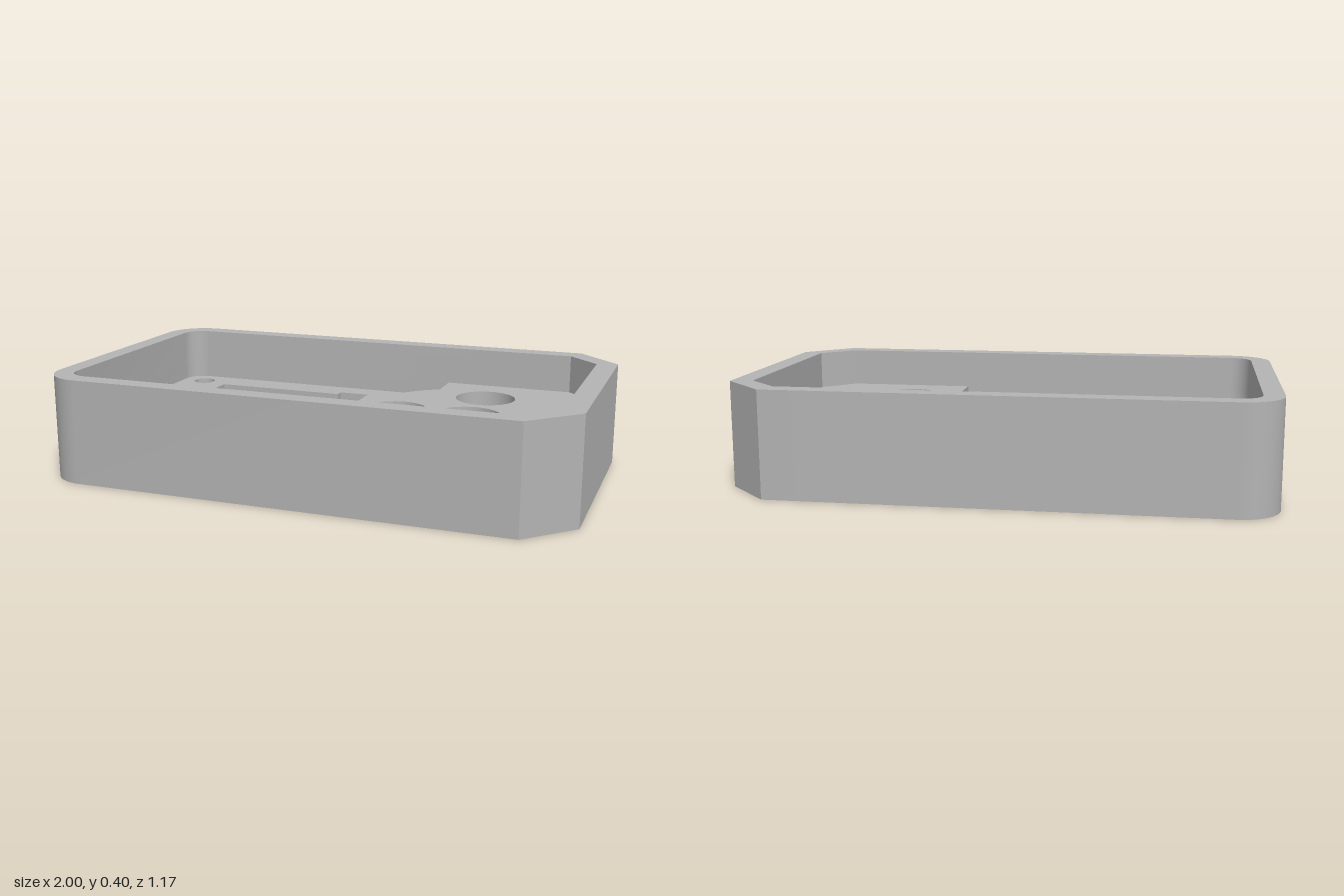
import * as THREE from 'three';
import { toCreasedNormals, mergeGeometries } from 'three/addons/utils/BufferGeometryUtils.js';

const V = (x, y) => new THREE.Vector2(x, y);
const pts = (list) => list.map(([x, y]) => V(x, y));

// Heights of the stepped levels
const LEDGE = 0.08, POCKET = 0.095, FLOOR = 0.19, PLATFORM = 0.25, RIM = 0.4;

// Plan outlines are drawn in (x, -z); each half is mirrored to close it
const mirror = (half) => [...half, ...half.map((p) => V(p.x, -p.y)).reverse()];
const circle = (x, y, r, n = 40) => Array.from({ length: n }, (_, i) =>
  V(x + r * Math.cos((i / n) * 2 * Math.PI), y + r * Math.sin((i / n) * 2 * Math.PI)));
const leftCorner = (left, bottom, r, n = 10) => Array.from({ length: n + 1 }, (_, i) => {
  const a = Math.PI + (i / n) * Math.PI / 2;
  return V(left + r + r * Math.cos(a), bottom + r + r * Math.sin(a));
});

const outer = mirror([...leftCorner(-1, -0.583, 0.155), ...pts([[0.83, -0.583], [1, -0.413]])]);
const innerLeft = leftCorner(-0.925, -0.508, 0.078);
const innerRight = pts([[0.8, -0.508], [0.92, -0.39]]);
const inner = mirror([...innerLeft, ...innerRight]);

// Edge between the low floor and the raised platform
const step = pts([[0.29, -0.508], [0.29, -0.375], [0.235, -0.335], [0.205, -0.308], [0.162, -0.262], [0.04, -0.262]]);
const lowRegion = mirror([...innerLeft, ...step]);
const platform = mirror([...step.slice().reverse(), ...innerRight]);

// Through slot, and the slot joined with the shallow pocket
const notch = pts([[-0.165, -0.38], [-0.165, -0.415], [0.04, -0.415]]);
const slot = mirror([V(-0.302, -0.38), ...notch]);
const opening = mirror([V(-0.71, -0.38), ...notch]);
const pocket = mirror(pts([[-0.71, -0.38], [-0.302, -0.38]]));

// The low floor runs round the opening as one C-shaped outline
const lowFloor = mirror([...opening.slice(0, 4), ...step.slice().reverse(), ...innerLeft.slice().reverse()]);

const screws = [[-0.825, -0.415], [-0.825, 0.415], [0.165, -0.415], [0.165, 0.415]];
const bolts = [[0.22, 0], [0.785, 0], [0.503, 0.285], [0.503, -0.285]];
const bore = circle(0.503, 0, 0.128, 56);

// Horizontal face at height h, with holes, looking up or down
function face(outline, h, holes = [], down = false) {
  const shape = new THREE.Shape(outline);
  shape.holes = holes.map((p) => new THREE.Path(p));
  const g = new THREE.ShapeGeometry(shape);
  g.rotateX(down ? Math.PI / 2 : -Math.PI / 2);
  g.translate(0, h, 0);
  return g;
}

// Upright band along an outline, facing outward or into the hole
function band(outline, y0, y1, inward = false) {
  const path = outline.slice();
  if (THREE.ShapeUtils.isClockWise(path) !== inward) path.reverse();
  const pos = [];
  path.forEach((a, i) => {
    const b = path[(i + 1) % path.length];
    const A = [a.x, y0, -a.y], B = [b.x, y0, -b.y], C = [b.x, y1, -b.y], D = [a.x, y1, -a.y];
    pos.push(...A, ...B, ...C, ...A, ...C, ...D);
  });
  const g = new THREE.BufferGeometry();
  g.setAttribute('position', new THREE.Float32BufferAttribute(pos, 3));
  return toCreasedNormals(g, 0.5);
}

export function createModel() {
  const group = new THREE.Group();
  group.name = 'housing';
  const grey = new THREE.MeshStandardMaterial({ color: 0xb4b4b4 });
  grey.name = 'grey';

  const add = (name, ...geos) => {
    const plain = geos.map((g) => {
      const n = g.index ? g.toNonIndexed() : g;
      n.deleteAttribute('uv');
      return n;
    });
    const mesh = new THREE.Mesh(mergeGeometries(plain), grey);
    mesh.name = name;
    group.add(mesh);
  };

  const boltHoles = bolts.map(([x, y]) => circle(x, y, 0.07));
  const boltRecesses = bolts.map(([x, y]) => circle(x, y, 0.118));
  const screwHoles = screws.map(([x, y]) => circle(x, y, 0.046, 32));
  const screwRecesses = screws.map(([x, y]) => circle(x, y, 0.078, 32));

  // Shell
  add('outerWall', band(outer, 0, RIM));
  add('rim', face(outer, RIM, [inner]));
  add('innerWall', band(inner, PLATFORM, RIM, true));
  add('underside', face(outer, 0, [slot, bore, ...boltHoles, ...screwRecesses], true));

  // Stepped inside
  add('raisedPlatform', face(platform, PLATFORM, [bore, ...boltRecesses]));
  add('platformStep', band(lowRegion, FLOOR, PLATFORM, true));
  add('lowFloor', face(lowFloor, FLOOR, screwHoles));
  add('pocketFloor', face(pocket, POCKET));
  add('pocketWall', band(opening, POCKET, FLOOR, true));
  add('slotWall', band(slot, 0, POCKET, true));

  // Round holes
  add('centreBore', band(bore, 0, PLATFORM, true));
  bolts.forEach((_, i) => add('boltHole',
    band(boltHoles[i], 0, POCKET, true),
    face(boltRecesses[i], POCKET, [boltHoles[i]]),
    band(boltRecesses[i], POCKET, PLATFORM, true)));
  screws.forEach((_, i) => add('screwHole',
    band(screwRecesses[i], 0, LEDGE, true),
    face(screwRecesses[i], LEDGE, [screwHoles[i]], true).translate(0, 0, 0),
    band(screwHoles[i], LEDGE, FLOOR, true)));

  // Downward faces mirror z, so ledges swap between the paired screw holes
  return group;
}
